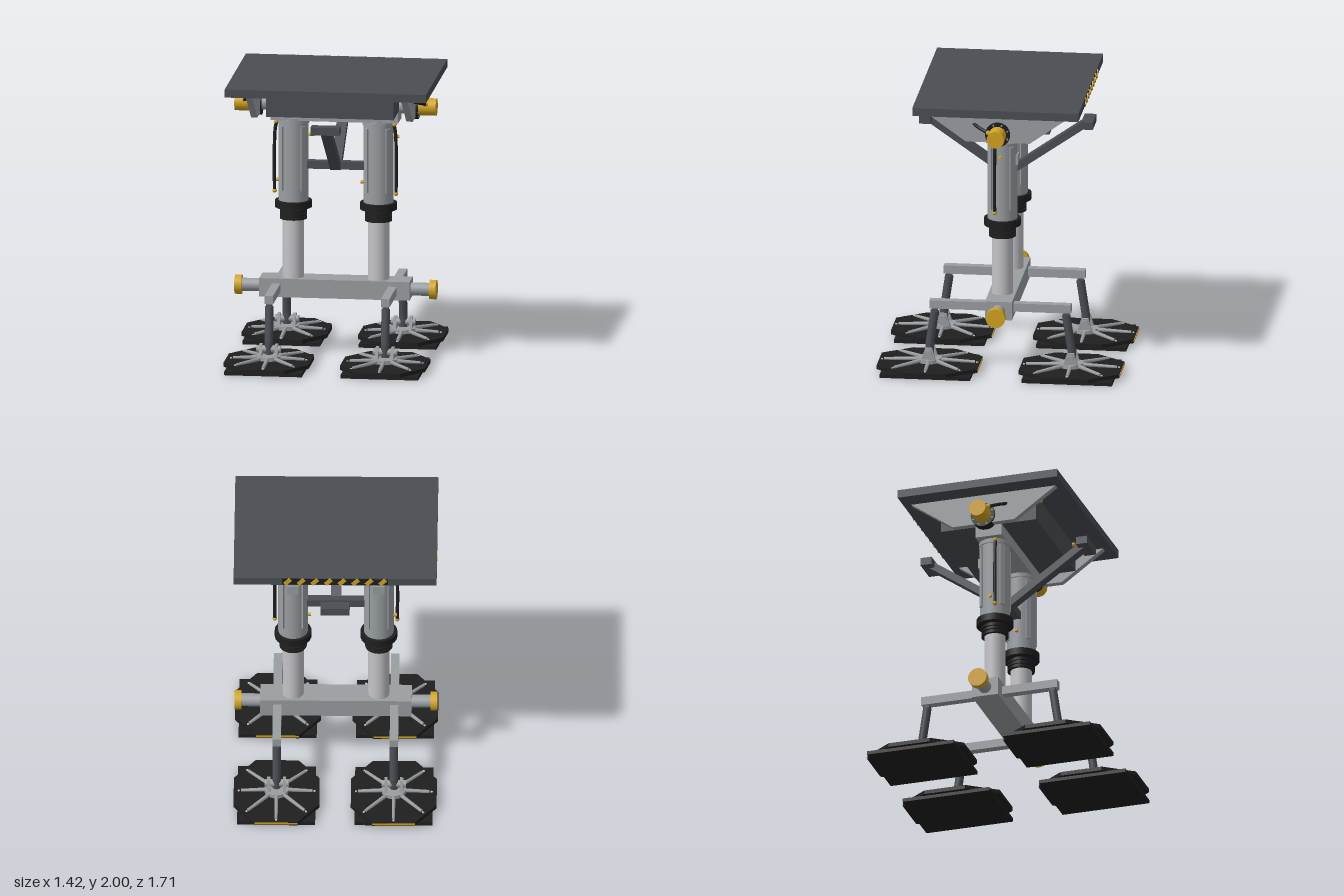
import * as THREE from 'three';

const mat = (name, color) => {
  const m = new THREE.MeshStandardMaterial({ color });
  m.name = name;
  return m;
};

export function createModel() {
  const dark = mat('dark steel', 0x4a4e54);
  const grey = mat('grey metal', 0x9a9fa2);
  const black = mat('black rubber', 0x1f1f1f);
  const yellow = mat('safety yellow', 0xd4a520);
  const silver = mat('polished rod', 0xc4c4c9);
  const root = new THREE.Group();
  root.name = 'liftingPlatform';

  const add = (parent, name, geo, m, x = 0, y = 0, z = 0) => {
    const mesh = new THREE.Mesh(geo, m);
    mesh.name = name;
    mesh.position.set(x, y, z);
    parent.add(mesh);
    return mesh;
  };
  const group = (name, x = 0, y = 0, z = 0) => {
    const g = new THREE.Group();
    g.name = name;
    g.position.set(x, y, z);
    root.add(g);
    return g;
  };
  // box given by its minimum and maximum on each axis
  const box = (p, name, m, x0, x1, y0, y1, z0, z1) =>
    add(p, name, new THREE.BoxGeometry(x1 - x0, y1 - y0, z1 - z0), m, (x0 + x1) / 2, (y0 + y1) / 2, (z0 + z1) / 2);
  // upright cylinder from y0 to y1
  const post = (p, name, m, r, y0, y1, x = 0, z = 0, n = 32) =>
    add(p, name, new THREE.CylinderGeometry(r, r, y1 - y0, n), m, x, (y0 + y1) / 2, z);
  // cylinder along x from x0 to x1
  const axle = (p, name, m, r, x0, x1, y, z = 0, n = 24) => {
    const c = add(p, name, new THREE.CylinderGeometry(r, r, Math.abs(x1 - x0), n), m, (x0 + x1) / 2, y, z);
    c.rotation.z = Math.PI / 2;
    return c;
  };
  // geometry whose y axis is laid between two points
  const between = (p, name, m, a, b, make) => {
    const A = new THREE.Vector3(...a), B = new THREE.Vector3(...b);
    const d = B.clone().sub(A);
    const c = add(p, name, make(d.length()), m);
    c.position.copy(A).add(B).multiplyScalar(0.5);
    c.quaternion.setFromUnitVectors(new THREE.Vector3(0, 1, 0), d.normalize());
    return c;
  };
  const ball = (p, name, m, r, x, y, z) => add(p, name, new THREE.SphereGeometry(r, 12, 8), m, x, y, z);
  const tube = (p, name, m, r, pts) =>
    add(p, name, new THREE.TubeGeometry(new THREE.CatmullRomCurve3(pts.map(q => new THREE.Vector3(...q))), 20, r, 8), m);
  // outline in the x-y plane, extruded along z
  const prism = (pts, depth) =>
    new THREE.ExtrudeGeometry(new THREE.Shape(pts.map(q => new THREE.Vector2(...q))), { depth, bevelEnabled: false });

  // platform deck and the housing beneath it
  const deck = group('deck');
  box(deck, 'deckPlate', dark, -0.71, 0.71, 1.937, 1.995, -0.585, 0.585);
  box(deck, 'housing', dark, -0.45, 0.45, 1.755, 1.937, -0.35, 0.35);
  box(deck, 'crossBeam', grey, -0.45, 0.45, 1.675, 1.756, -0.097, 0.097);
  box(deck, 'warningBacking', black, -0.37, 0.37, 1.942, 1.99, -0.589, -0.585);
  for (let i = 0; i < 8; i++) {
    const s = add(deck, 'warningStripe', new THREE.BoxGeometry(0.03, 0.058, 0.008), yellow, -0.333 + i * 0.095, 1.967, -0.59);
    s.rotation.z = Math.PI / 4;
  }

  // side brackets, pivots and hoses
  for (const s of [-1, 1]) {
    const side = group(s > 0 ? 'leftPivot' : 'rightPivot');
    const plate = add(side, 'sideBracket',
      prism([[-0.53, 1.937], [-0.225, 1.72], [0.225, 1.72], [0.53, 1.937]], 0.045), grey, s > 0 ? 0.525 : -0.57);
    plate.rotation.y = Math.PI / 2;
    axle(side, 'pivotAxle', grey, 0.052, s * 0.44, s * 0.6, 1.78);
    axle(side, 'pivotCollar', black, 0.088, s * 0.52, s * 0.585, 1.78, 0, 32);
    axle(side, 'pivotCap', yellow, 0.061, s * 0.58, s * 0.71, 1.78);
    for (let i = 0; i < 8; i++) {
      const a = (i + 0.5) * Math.PI / 4;
      axle(side, 'collarBolt', grey, 0.007, s * 0.58, s * 0.589, 1.78 + 0.075 * Math.sin(a), 0.075 * Math.cos(a), 6);
    }
    tube(side, 'pivotHose', black, 0.012,
      [[s * 0.64, 1.81, 0.06], [s * 0.6, 1.835, 0.13], [s * 0.53, 1.865, 0.2], [s * 0.45, 1.915, 0.3], [s * 0.385, 1.923, 0.36]]);
    ball(side, 'hoseFitting', yellow, 0.016, s * 0.64, 1.81, 0.06);
    ball(side, 'hoseFitting', yellow, 0.016, s * 0.38, 1.925, 0.36);
    ball(side, 'housingFitting', yellow, 0.016, s * 0.33, 1.85, -0.355);
  }

  // braces from the tie bar up to the end blocks
  const brace = group('centreBrace');
  box(brace, 'tieBar', dark, -0.21, 0.21, 1.32, 1.375, -0.03, 0.03);
  for (const s of [-1, 1]) {
    box(brace, 'braceBlock', dark, -0.102, 0.102, 1.69, 1.745, s < 0 ? -0.612 : 0.53, s < 0 ? -0.53 : 0.612);
    between(brace, 'braceArm', dark, [0, 1.335, s * 0.01], [0, 1.718, s * 0.56],
      l => new THREE.BoxGeometry(0.074, l, 0.052));
  }

  // telescopic columns
  for (const s of [-1, 1]) {
    const col = group(s > 0 ? 'leftColumn' : 'rightColumn', s * 0.3);
    post(col, 'pistonRod', silver, 0.075, 0.52, 1.05);
    post(col, 'outerTube', grey, 0.104, 1.08, 1.69);
    post(col, 'topCollar', grey, 0.112, 1.645, 1.675);
    post(col, 'lowerCollar', black, 0.129, 1.04, 1.09);
    post(col, 'bellowsCore', black, 0.084, 0.965, 1.04);
    for (let i = 0; i < 3; i++) post(col, 'bellowsRing', black, 0.096, 0.958 + i * 0.027, 0.974 + i * 0.027);
    for (let i = 0; i < 4; i++) {
      const a = Math.PI / 4 + i * Math.PI / 2;
      const rib = add(col, 'tubeRib', new THREE.BoxGeometry(0.035, 0.46, 0.03), grey, 0.1 * Math.sin(a), 1.4, 0.1 * Math.cos(a));
      rib.rotation.y = a;
    }
    box(col, 'servicePlate', grey, -0.04, 0.04, 1.49, 1.56, -0.113, -0.095);
    tube(col, 'columnHose', black, 0.012,
      [[s * 0.115, 1.65, 0.04], [s * 0.124, 1.6, 0.04], [s * 0.13, 1.4, 0.04], [s * 0.128, 1.16, 0.04]]);
    ball(col, 'hoseFitting', yellow, 0.016, s * 0.118, 1.655, 0.04);
    ball(col, 'hoseFitting', yellow, 0.016, s * 0.128, 1.16, 0.04);
    axle(col, 'upperPort', yellow, 0.011, 0.09, 0.148, 1.56, 0, 12);
    axle(col, 'lowerPort', yellow, 0.012, -0.125, -0.09, 1.23, 0, 12);
  }

  // base beam with its end knobs and arms
  const base = group('base');
  box(base, 'baseBeam', grey, -0.53, 0.53, 0.408, 0.54, -0.095, 0.095);
  for (const s of [-1, 1]) {
    axle(base, 'endShaft', grey, 0.046, s * 0.52, s * 0.67, 0.472);
    axle(base, 'endKnob', yellow, 0.068, s * 0.662, s * 0.71, 0.472);
    box(base, 'footArm', grey, s * 0.41 - 0.03, s * 0.41 + 0.03, 0.445, 0.505, -0.498, 0.498);
  }

  // ankle struts and feet
  const octagon = [[-0.15, -0.355], [0.15, -0.355], [0.3, -0.15], [0.3, 0.15],
    [0.15, 0.355], [-0.15, 0.355], [-0.3, 0.15], [-0.3, -0.15]];
  for (const sx of [-1, 1]) for (const sz of [-1, 1]) {
    const foot = group((sz > 0 ? 'front' : 'back') + (sx > 0 ? 'Left' : 'Right') + 'Foot', sx * 0.41, 0, sz * 0.5);
    box(foot, 'solePlate', black, -0.273, 0.273, 0, 0.026, -0.318, 0.318);
    const pad = add(foot, 'footPad', prism(octagon, 0.028), black, 0, 0.052, 0);
    pad.rotation.x = Math.PI / 2;
    box(foot, 'padEdgeStripe', yellow, -0.15, 0.15, 0.032, 0.046, -0.359, -0.354);
    post(foot, 'hubDisc', grey, 0.085, 0.05, 0.08);
    for (let i = 0; i < 8; i++) {
      const a = i * Math.PI / 4;
      const reach = i % 2 ? 0.3 : i % 4 ? 0.25 : 0.32;
      // diagonal ribs lean slightly along the longer axis of the pad
      const dir = i % 2 ? Math.atan2(0.21 * Math.sign(Math.sin(a)), 0.24 * Math.sign(Math.cos(a))) : a;
      const dx = Math.sin(dir), dz = Math.cos(dir);
      between(foot, 'padRib', grey, [dx * 0.05, 0.068, dz * 0.05], [dx * reach, 0.056, dz * reach],
        l => new THREE.CylinderGeometry(0.012, 0.015, l, 6));
      post(foot, 'padBolt', silver, 0.008, 0.05, 0.058, dx * (reach + 0.015), dz * (reach + 0.015), 8);
    }
    for (const s of [-1, 1]) {
      const lug = add(foot, 'ankleLug', prism([[-0.055, 0.06], [0.055, 0.06], [0.025, 0.162], [-0.025, 0.162]], 0.022),
        grey, s * 0.055 - 0.011, 0, 0);
      lug.rotation.y = Math.PI / 2;
    }
    axle(foot, 'anklePin', grey, 0.026, -0.085, 0.085, 0.125);
    post(foot, 'ankleKnuckle', dark, 0.03, 0.09, 0.18, 0, 0, 12);
    between(foot, 'ankleStrut', dark, [0, 0.172, 0], [0, 0.425, -sz * 0.038],
      l => new THREE.CylinderGeometry(0.03, 0.03, l, 12));
    // link joining the strut to the arm
    box(foot, 'strutTop', dark, -0.02, 0.02, 0.41, 0.45, -sz * 0.038 - 0.02, -sz * 0.038 + 0.02);
  }
  return root;
}
